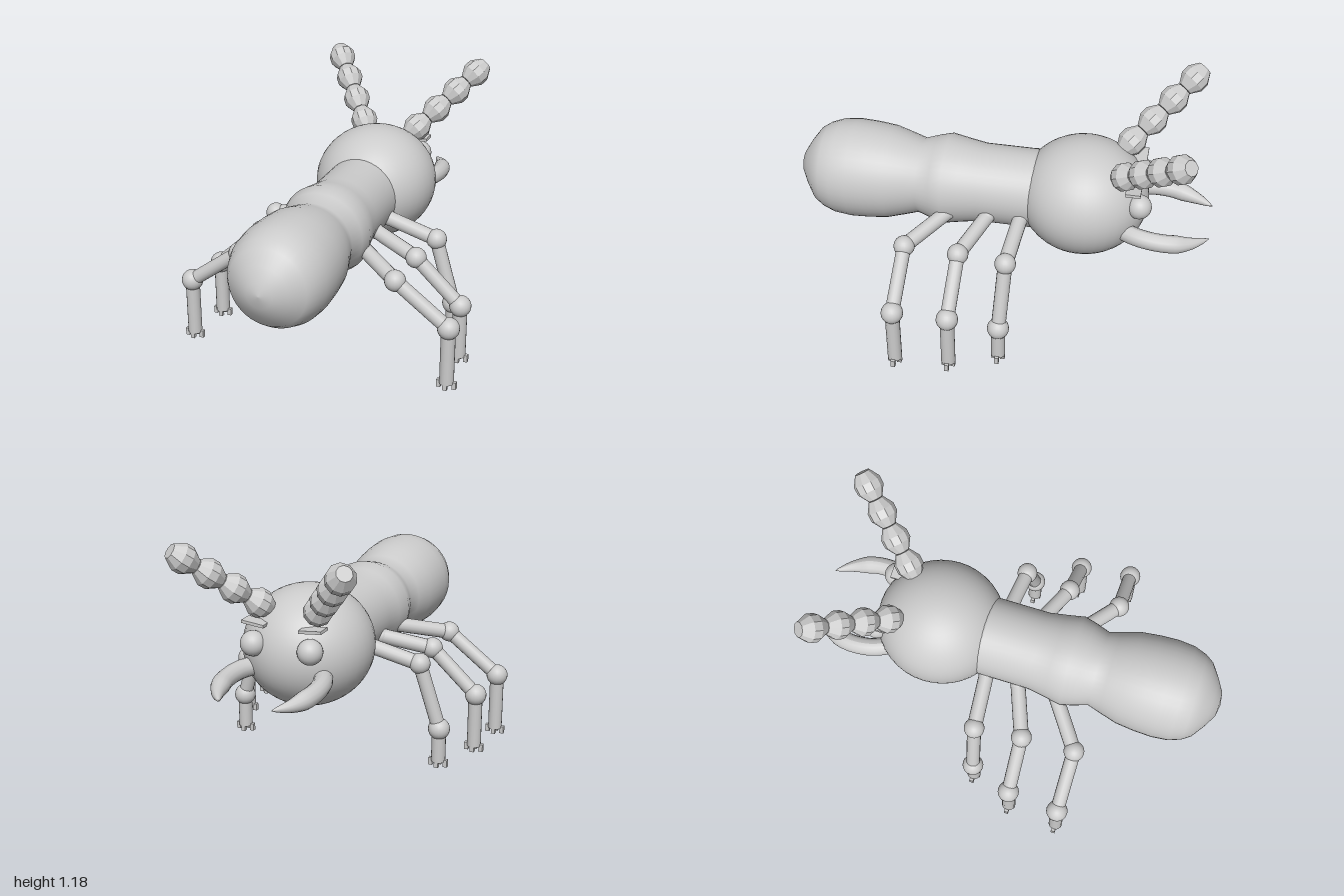
import * as THREE from 'three';

const mat = new THREE.MeshStandardMaterial({ color: 0xcccccc });
const flat = new THREE.MeshStandardMaterial({ color: 0xcccccc, flatShading: true });
const V = (x, y, z) => new THREE.Vector3(x, y, z);
const UP = V(0, 1, 0);

function add(parent, name, geometry, pos = V(0, 0, 0), material = mat) {
  const mesh = new THREE.Mesh(geometry, material);
  mesh.name = name;
  mesh.position.copy(pos);
  parent.add(mesh);
  return mesh;
}

// Cylinder between two points
function rod(parent, name, a, b, r) {
  const d = b.clone().sub(a);
  const mesh = add(parent, name, new THREE.CylinderGeometry(r, r, d.length(), 16), a.clone().lerp(b, 0.5));
  mesh.quaternion.setFromUnitVectors(UP, d.normalize());
}

// Tapered tube: rings of a swept tube scaled towards the path
function horn(points, radiusAt, segs = 24, sides = 14) {
  const curve = new THREE.CatmullRomCurve3(points);
  const geo = new THREE.TubeGeometry(curve, segs, 1, sides);
  const p = geo.attributes.position;
  const v = V(0, 0, 0);
  for (let i = 0; i < p.count; i++) {
    const t = Math.floor(i / (sides + 1)) / segs;
    const c = curve.getPointAt(t);
    v.fromBufferAttribute(p, i).sub(c).multiplyScalar(radiusAt(t)).add(c);
    p.setXYZ(i, v.x, v.y, v.z);
  }
  geo.computeVertexNormals();
  return geo;
}

// Jointed leg with a pronged foot
function makeLeg(side, hip, knee, ankle, footY) {
  const leg = new THREE.Group();
  leg.name = 'leg';
  const [h, k, a] = [hip, knee, ankle].map(([x, y, z]) => V(x * side, y, z));
  rod(leg, 'upperLeg', h, k, 0.036);
  rod(leg, 'middleLeg', k, a, 0.034);
  rod(leg, 'shin', a, V(a.x, footY + 0.025, a.z), 0.034);
  add(leg, 'hip', new THREE.SphereGeometry(0.038, 16, 12), h);
  add(leg, 'knee', new THREE.SphereGeometry(0.05, 20, 14), k);
  add(leg, 'ankle', new THREE.SphereGeometry(0.052, 20, 14), a);
  for (let i = 0; i < 4; i++) {
    const t = (i * Math.PI) / 2;
    const reach = i % 2 ? 0.022 : 0.037;
    add(leg, 'claw', new THREE.BoxGeometry(0.02, 0.036, 0.02),
      V(a.x + Math.cos(t) * reach, footY + 0.018, a.z + Math.sin(t) * reach));
  }
  return leg;
}

// Beaded antenna
function makeAntenna(side) {
  const antenna = new THREE.Group();
  antenna.name = 'antenna';
  const start = V(0.145 * side, 0.875, -0.59);
  const end = V(0.37 * side, 1.115, -0.845);
  const dir = end.clone().sub(start).normalize();
  const profile = [[0, -0.068], [0.036, -0.068], [0.066, -0.02], [0.066, 0.02], [0.036, 0.068], [0, 0.068]];
  const bead = new THREE.LatheGeometry(profile.map(([r, y]) => new THREE.Vector2(r, y)), 10);
  for (let i = 0; i < 4; i++) {
    add(antenna, 'antennaBead', bead, start.clone().lerp(end, i / 3), flat).quaternion.setFromUnitVectors(UP, dir);
  }
  rod(antenna, 'antennaRoot', start.clone().addScaledVector(dir, -0.12), start, 0.036);
  return antenna;
}

export function createModel() {
  const model = new THREE.Group();
  model.name = 'insect';

  // Thorax and abdomen, turned around the long axis
  const profile = [
    [0, -0.2], [0.19, -0.2], [0.19, -0.15], [0.19, 0.1], [0.205, 0.19], [0.22, 0.27], [0.205, 0.33],
    [0.182, 0.4], [0.2, 0.46], [0.226, 0.55], [0.236, 0.64], [0.24, 0.73], [0.232, 0.81],
    [0.21, 0.87], [0.183, 0.91], [0.12, 0.955], [0.06, 0.99], [0, 1]
  ];
  const body = new THREE.LatheGeometry(profile.map(([r, z]) => new THREE.Vector2(r, z)), 40);
  add(model, 'body', body.rotateX(Math.PI / 2), V(0, 0.64, 0));

  const head = add(model, 'head', new THREE.SphereGeometry(1, 40, 28), V(0, 0.642, -0.39));
  head.scale.set(0.302, 0.28, 0.31);

  // Hip, knee and ankle positions, then foot height
  const legs = [
    [[0.17, 0.57, -0.11], [0.425, 0.508, -0.09], [0.523, 0.19, -0.075], 0],
    [[0.17, 0.565, 0.05], [0.4, 0.508, 0.14], [0.625, 0.3, 0.145], 0.01],
    [[0.17, 0.565, 0.24], [0.39, 0.508, 0.4], [0.648, 0.317, 0.4], 0.01]
  ];

  for (const side of [1, -1]) {
    for (const l of legs) model.add(makeLeg(side, ...l));
    model.add(makeAntenna(side));
    add(model, 'eye', new THREE.SphereGeometry(0.058, 24, 16), V(0.14 * side, 0.71, -0.665));
    add(model, 'brow', new THREE.BoxGeometry(0.11, 0.014, 0.07), V(0.14 * side, 0.8, -0.635)).rotation.z = 0.1 * side;
    // Curved jaw, tapering to a point
    const path = [[0.15, 0.58, -0.56], [0.205, 0.578, -0.68], [0.213, 0.57, -0.8], [0.18, 0.56, -0.91], [0.125, 0.56, -1]];
    add(model, 'mandible', horn(path.map(([x, y, z]) => V(x * side, y, z)),
      (t) => (t < 0.65 ? 0.043 : 0.043 * Math.pow((1 - t) / 0.35, 0.75))));
  }
  return model;
}
